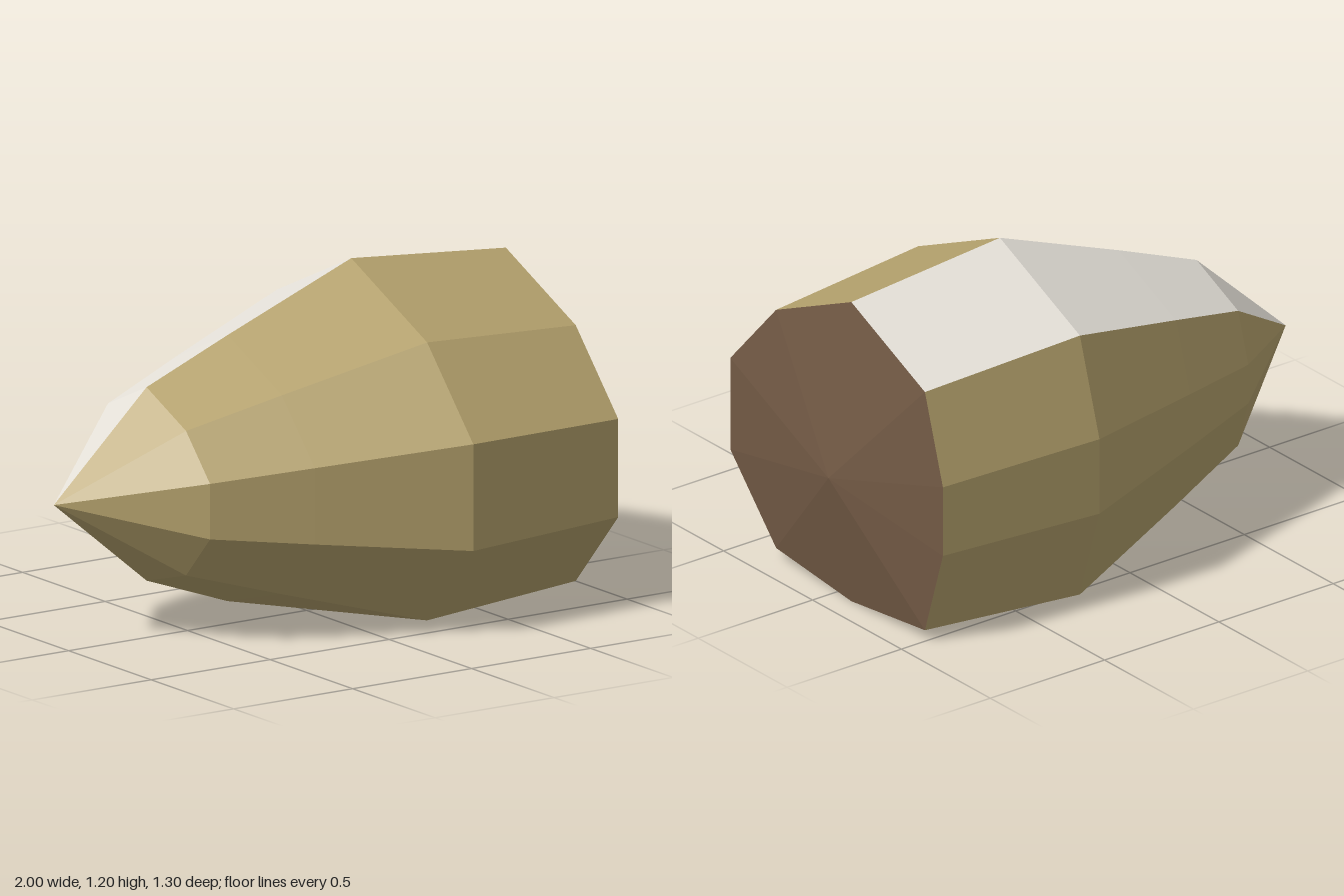
import * as THREE from 'three';

const CY = 0.5, CZ = -0.09; // long axis of the body

// Cross-section around the axis as [y, z] offsets, from the ridge round by the front
const SECTION = [
  [0.70, 0], [0.495, 0.46], [0.19, 0.74], [-0.19, 0.74], [-0.495, 0.46],
  [-0.625, 0], [-0.495, -0.45], [-0.145, -0.56], [0.14, -0.56], [0.495, -0.45],
];
// Stations along the body: [x, scale]
const STATIONS = [[-1, 0], [-0.61, 0.52], [-0.27, 0.715], [0.25, 1], [0.9, 0.92]];

// One ring of points, flattened where it rests on the ground
const ring = ([x, s]) => SECTION.map(([y, z]) =>
  new THREE.Vector3(x, Math.max(0, CY + y * s), CZ + z * s));

function facetMesh(name, points, material) {
  const geometry = new THREE.BufferGeometry().setFromPoints(points);
  geometry.computeVertexNormals(); // unshared corners give flat facets
  const mesh = new THREE.Mesh(geometry, material);
  mesh.name = name;
  return mesh;
}

export function createModel() {
  const material = (name, color) => {
    const m = new THREE.MeshStandardMaterial({ color });
    m.name = name;
    return m;
  };
  const tan = material('tan shell', 0xb5a26d);
  const pale = material('pale stripe', 0xe6e2da);
  const brown = material('brown base', 0x735a45);

  const rings = STATIONS.map(ring);
  const n = SECTION.length;
  const shell = [], stripe = [], base = [];

  // Lengthwise strips; the upper back strip is pale
  for (let i = 0; i < n; i++) {
    const j = (i + 1) % n;
    const target = i === n - 1 ? stripe : shell;
    for (let k = 0; k < rings.length - 1; k++) {
      const a = rings[k], b = rings[k + 1];
      if (k > 0) target.push(a[i], a[j], b[i]);
      target.push(a[j], b[j], b[i]);
    }
  }

  // Shallow cone closing the blunt end
  const end = rings[rings.length - 1];
  const centre = new THREE.Vector3(1, CY, CZ);
  for (let i = 0; i < n; i++) base.push(centre, end[i], end[(i + 1) % n]);

  const group = new THREE.Group();
  group.name = 'nut';
  group.add(
    facetMesh('shell', shell, tan),
    facetMesh('stripe', stripe, pale),
    facetMesh('base', base, brown),
  );
  return group;
}
